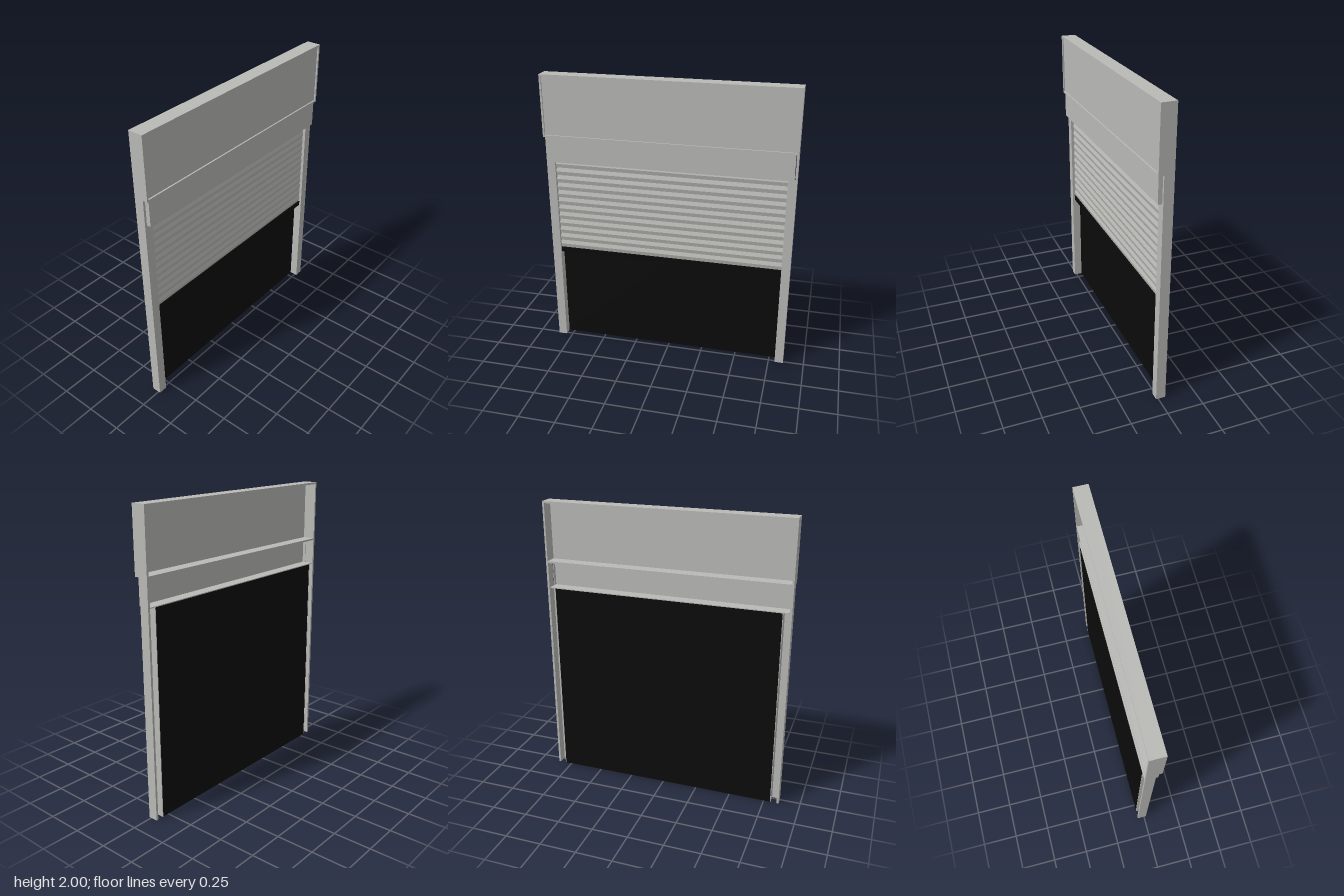
import * as THREE from 'three';

export function createModel() {
  const model = new THREE.Group();
  model.name = 'rollerShutterFront';
  const metal = new THREE.MeshStandardMaterial({ name: 'greyMetal', color: 0xb9b9b6 });
  const slatMetal = new THREE.MeshStandardMaterial({ name: 'greySlats', color: 0xbcbcb9, side: THREE.DoubleSide, flatShading: true });
  const black = new THREE.MeshStandardMaterial({ name: 'black', color: 0x0b0b0b });

  // Box given by its lower and upper limits
  function box(name, parent, mat, x0, x1, y0, y1, z0, z1) {
    const mesh = new THREE.Mesh(new THREE.BoxGeometry(x1 - x0, y1 - y0, z1 - z0), mat);
    mesh.position.set((x0 + x1) / 2, (y0 + y1) / 2, (z0 + z1) / 2);
    mesh.name = name;
    parent.add(mesh);
    return mesh;
  }
  function group(name) {
    const g = new THREE.Group();
    g.name = name;
    model.add(g);
    return g;
  }

  // Sign box: an open-backed frame with a slightly recessed panel
  const W = 0.855, T = 0.013;
  const sign = group('signBox');
  const outline = new THREE.Shape();
  outline.moveTo(-W, 1.577).lineTo(W, 1.577).lineTo(W, 2).lineTo(-W, 2).closePath();
  const hole = new THREE.Path();
  hole.moveTo(-W + T, 1.577 + T).lineTo(-W + T, 2 - T).lineTo(W - T, 2 - T).lineTo(W - T, 1.577 + T).closePath();
  outline.holes.push(hole);
  const frame = new THREE.Mesh(new THREE.ExtrudeGeometry(outline, { depth: 0.1, bevelEnabled: false }), metal);
  frame.position.z = -0.05;
  frame.name = 'signFrame';
  sign.add(frame);
  box('signPanel', sign, metal, -W + T, W - T, 1.577 + T, 2 - T, 0.036, 0.04);

  // Lintel cover: front plate, end caps and lower shelf, open at the back
  const lintel = group('lintel');
  box('lintelPlate', lintel, metal, -0.837, 0.837, 1.4, 1.577, 0.036, 0.041);
  box('lintelShelf', lintel, metal, -0.837, 0.837, 1.397, 1.403, -0.045, 0.036);

  // Side posts: thick outer wall, front web and thin inner wall, open at the back
  for (const s of [-1, 1]) {
    const post = group(s > 0 ? 'leftPost' : 'rightPost');
    const part = (name, a, b, y1, z0, z1) =>
      box(name, post, metal, Math.min(s * a, s * b), Math.max(s * a, s * b), 0, y1, z0, z1);
    part('postOuterWall', 0.84, W, 1.577, -0.05, 0.015);
    part('postFrontWeb', 0.795, 0.84, 1.4, 0.011, 0.0148);
    part('postInnerWall', 0.795, 0.799, 1.4, -0.05, 0.011);
    box('lintelEndCap', lintel, metal, s > 0 ? 0.833 : -0.837, s > 0 ? 0.837 : -0.833, 1.403, 1.577, 0.012, 0.036);
  }

  // Shutter curtain: a strip folded into a shallow zigzag of slats
  const slats = 12, top = 1.4, bottom = 0.735, folds = slats * 2;
  const curtain = new THREE.PlaneGeometry(1.59, top - bottom, 1, folds);
  const pos = curtain.attributes.position;
  for (let i = 0; i < pos.count; i++) {
    const row = Math.floor(i / 2);
    pos.setZ(i, row % 2 ? 0.003 : -0.004);
  }
  curtain.computeVertexNormals();
  const shutter = new THREE.Mesh(curtain, slatMetal);
  shutter.position.set(0, (top + bottom) / 2, -0.005);
  shutter.name = 'shutterSlats';
  model.add(shutter);
  box('shutterBottomBar', model, black, -0.795, 0.795, 0.7, 0.735, -0.012, 0.0);

  // Dark backing behind the opening
  box('darkBacking', model, black, -0.795, 0.795, 0, 1.397, -0.048, -0.043);

  return model;
}
